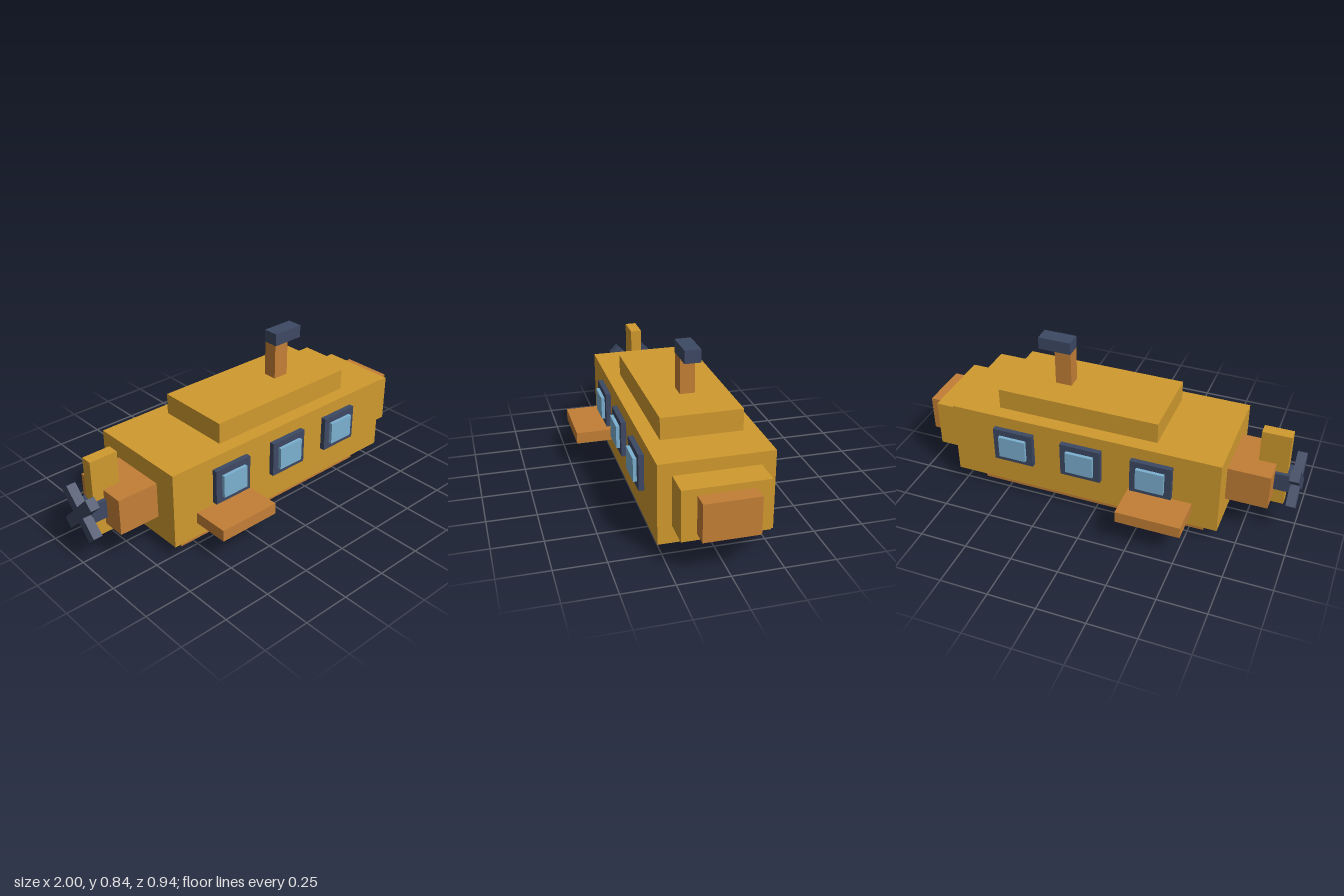
import * as THREE from 'three';

function paint(name, color) {
  const m = new THREE.MeshStandardMaterial({ color });
  m.name = name;
  return m;
}

export function createModel() {
  const yellow = paint('hull yellow', 0xd09a2e);
  const copper = paint('copper orange', 0xc47f36);
  const navy = paint('dark navy', 0x3d4863);
  const glass = paint('window blue', 0x7bb0d0);

  const model = new THREE.Group();
  model.name = 'submarine';

  // Adds a box given by its extents along each axis
  function block(name, material, [x0, x1], [y0, y1], [z0, z1]) {
    const mesh = new THREE.Mesh(new THREE.BoxGeometry(x1 - x0, y1 - y0, z1 - z0), material);
    mesh.position.set((x0 + x1) / 2, (y0 + y1) / 2, (z0 + z1) / 2);
    mesh.name = name;
    model.add(mesh);
    return mesh;
  }
  const wide = (h) => [-h, h];

  // Body, from keel to deck
  block('keel', copper, [-0.573, 0.655], [0, 0.072], wide(0.216));
  block('hull', yellow, [-0.656, 0.78], [0.072, 0.474], wide(0.277));
  block('upperDeck', yellow, [-0.31, 0.545], [0.474, 0.584], wide(0.202));

  // Stepped nose
  block('nose', yellow, [0.78, 0.92], [0.158, 0.411], wide(0.208));
  block('noseTip', copper, [0.92, 1.0], [0.19, 0.378], wide(0.135));

  // Periscope
  block('periscopePole', copper, [0.212, 0.299], [0.584, 0.77], wide(0.037));
  block('periscopeHead', navy, [0.212, 0.386], [0.77, 0.836], wide(0.041));

  // Tail and rudder
  block('tail', copper, [-0.872, -0.656], [0.185, 0.375], wide(0.152));
  block('rudder', yellow, [-0.93, -0.782], [0.135, 0.548], wide(0.03));

  // Propeller: hub and two crossed blades
  block('propellerHub', navy, [-0.955, -0.872], [0.232, 0.33], wide(0.05));
  for (const side of [-1, 1]) {
    const blade = block('propellerBlade', navy, [-1.0, -0.952], [0.141, 0.421], wide(0.029));
    blade.rotation.x = side * Math.PI / 4;
  }

  // Windows and diving planes on both sides
  for (const side of [-1, 1]) {
    const span = (a, b) => (side > 0 ? [a, b] : [-b, -a]);
    for (const x of [-0.31, 0.063, 0.433]) {
      block('windowFrame', navy, [x - 0.108, x + 0.108], [0.222, 0.408], span(0.27, 0.304));
      block('windowGlass', glass, [x - 0.073, x + 0.073], [0.255, 0.375], span(0.29, 0.322));
    }
    block('divingPlane', copper, [-0.52, -0.187], [0.148, 0.209], span(0.27, 0.47));
  }

  return model;
}
